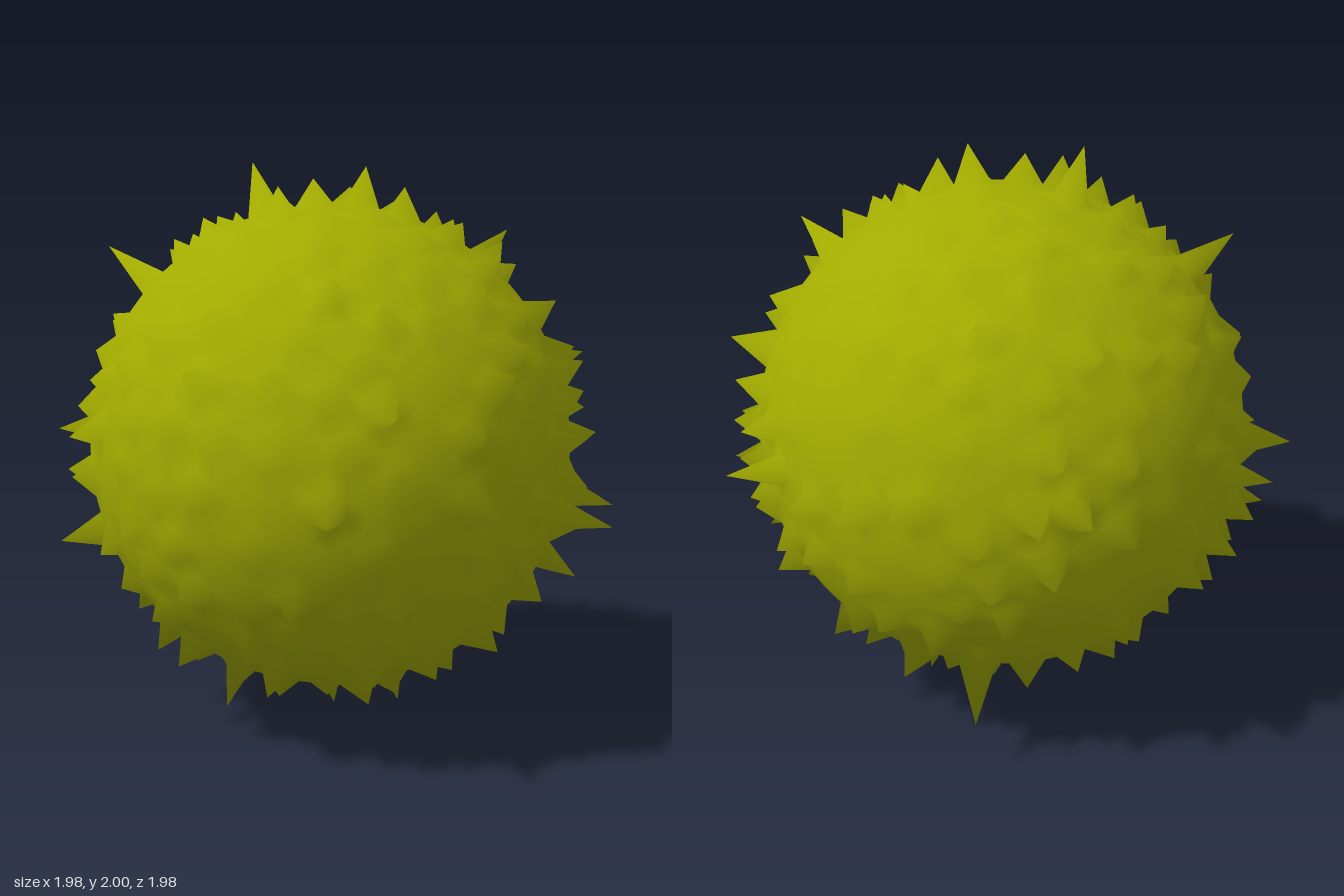
import * as THREE from 'three';
import { mergeVertices } from 'three/addons/utils/BufferGeometryUtils.js';

// Small seeded generator so the spikes are always the same
function seeded(seed) {
  return () => {
    seed = (seed * 1664525 + 1013904223) % 4294967296;
    return seed / 4294967296;
  };
}

// Tips of the longest spikes, relative to the ball's middle height
const LONG_TIPS = [
  [-0.28, 1.0, -0.09], [0.1, 0.98, 0.05], [-0.99, 0.05, -0.25], [0.99, -0.21, 0.13],
  [-0.15, -0.07, 0.99], [-0.3, 0.1, -0.99], [0.25, -0.99, -0.09], [0.01, -1.0, -0.12],
  [0.87, -0.48, 0.1], [0.88, -0.22, 0.44], [-0.1, 0.63, 0.77], [-0.78, 0.71, -0.05],
  [-0.89, 0.02, -0.5], [0.64, 0.77, -0.1], [0.05, -0.8, -0.69], [-0.4, -0.94, 0.03],
  [0.84, 0.05, -0.57], [-0.97, -0.31, 0.02], [0.92, 0.33, -0.05], [0.29, 0.9, -0.2],
  [-0.15, 0.05, -0.96], [0.28, 0.1, -0.95], [0.05, 0.22, 0.92],
];

export function createModel() {
  const random = seeded(21);
  const radius = 0.845;
  const middle = new THREE.Vector3(-0.015, 0.01, -0.02);

  let geometry = new THREE.IcosahedronGeometry(1, 15);
  geometry.deleteAttribute('normal');
  geometry.deleteAttribute('uv');
  geometry = mergeVertices(geometry, 1e-4);
  const position = geometry.attributes.position;

  // Round ball surface
  const directions = [];
  const points = [];
  for (let i = 0; i < position.count; i++) {
    const d = new THREE.Vector3().fromBufferAttribute(position, i).normalize();
    directions.push(d);
    points.push(d.clone().multiplyScalar(radius).add(middle));
  }

  // Long spikes: pull the nearest vertex out to each tip
  const spikes = [];
  for (const tip of LONG_TIPS) {
    const target = new THREE.Vector3(...tip);
    const aim = target.clone().normalize();
    let best = 0;
    directions.forEach((d, i) => {
      if (d.dot(aim) > directions[best].dot(aim)) best = i;
    });
    points[best].copy(target);
    spikes.push(best);
  }

  // Short spikes: scattered, never sharing a base, tips leaning a little
  const minDot = Math.cos(0.165);
  for (let attempt = 0; attempt < 12000 && spikes.length < 215; attempt++) {
    const i = Math.floor(random() * directions.length);
    const d = directions[i];
    if (spikes.some((s) => directions[s].dot(d) > minDot)) continue;
    const lean = new THREE.Vector3(random() - 0.5, random() - 0.5, random() - 0.5);
    lean.addScaledVector(d, -lean.dot(d)).multiplyScalar(0.07);
    const height = 0.04 + 0.07 * random();
    points[i].copy(d).multiplyScalar(radius + height).add(lean).add(middle);
    spikes.push(i);
  }

  points.forEach((p, i) => position.setXYZ(i, p.x, p.y, p.z));

  // Soft shading: blend the surface normals with the round ball's normals
  geometry.computeVertexNormals();
  const normal = geometry.attributes.normal;
  const n = new THREE.Vector3();
  directions.forEach((d, i) => {
    n.fromBufferAttribute(normal, i).lerp(d, 0.7).normalize();
    normal.setXYZ(i, n.x, n.y, n.z);
  });

  const ball = new THREE.Mesh(
    geometry,
    new THREE.MeshStandardMaterial({ color: 0xa2ab00, side: THREE.DoubleSide })
  );
  ball.name = 'spikyBall';
  ball.position.y = 1;

  const group = new THREE.Group();
  group.name = 'spikyBallModel';
  group.add(ball);
  return group;
}
